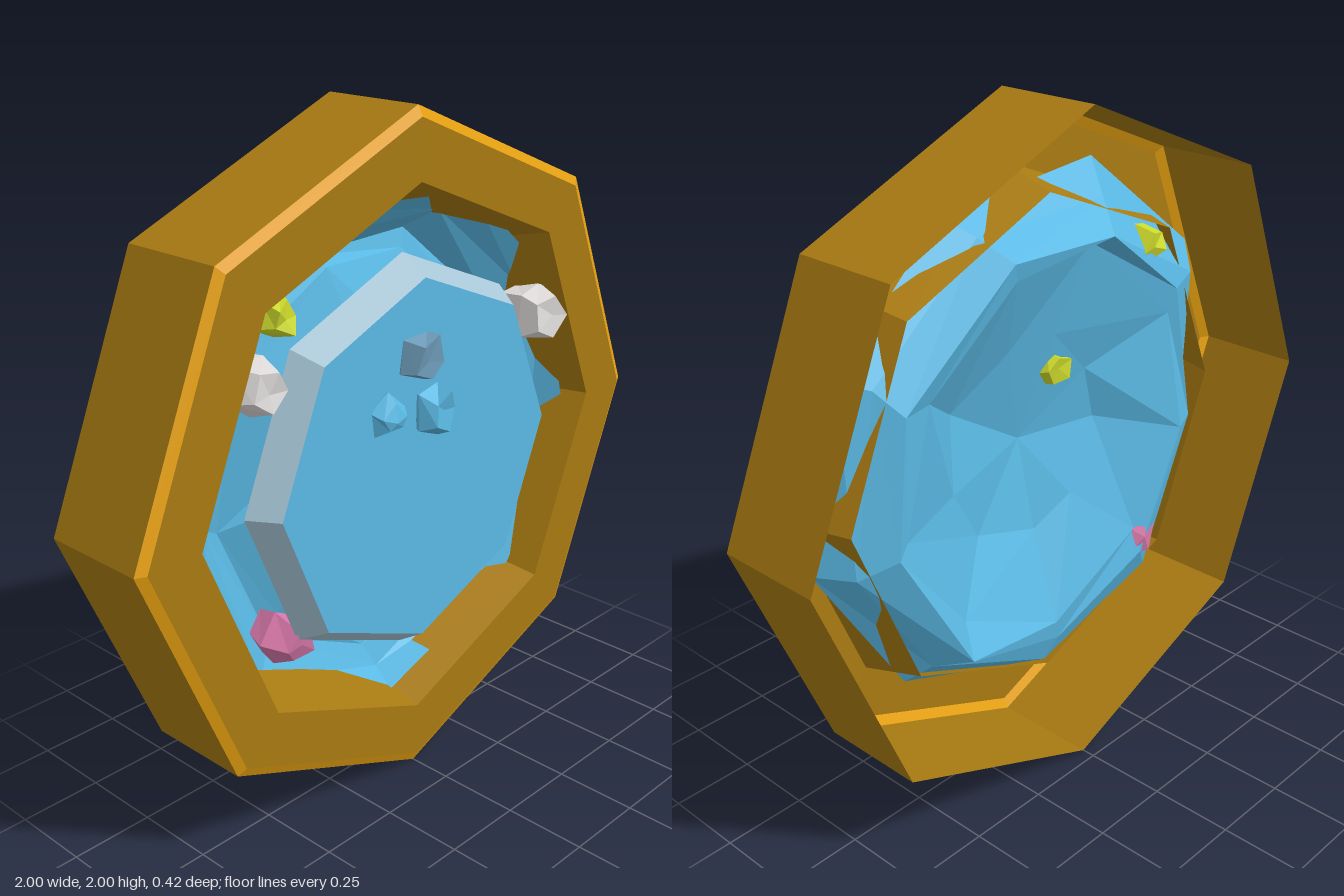
import * as THREE from 'three';

const mat = (name, color) => {
  const m = new THREE.MeshStandardMaterial({ color, side: THREE.DoubleSide });
  m.name = name;
  return m;
};

// Repeatable noise in -1..1 from a position, so coincident corners move together
const noise = (x, y, z, k) => {
  const s = Math.sin(Math.round(x * 1e3) * 12.99 + Math.round(y * 1e3) * 78.23 + Math.round(z * 1e3) * 37.72 + k * 19.19) * 43758.5453;
  return 2 * (s - Math.floor(s)) - 1;
};

function roughen(geo, amounts, seed) {
  const p = geo.attributes.position;
  for (let i = 0; i < p.count; i++) {
    const v = [p.getX(i), p.getY(i), p.getZ(i)];
    p.setXYZ(i, ...v.map((c, a) => c + amounts[a] * noise(...v, seed + a)));
  }
  return geo;
}

function facet(geo) {
  const g = geo.index ? geo.toNonIndexed() : geo;
  g.computeVertexNormals();
  return g;
}

// Profile of [radius, z] points turned about the z axis
const turn = (points, sides) =>
  new THREE.LatheGeometry(points.map(([r, z]) => new THREE.Vector2(r, z)), sides).rotateX(Math.PI / 2);

export function createModel() {
  const group = new THREE.Group();
  const gold = mat('dark gold', 0xa87a12);
  const trim = mat('bright gold', 0xe8a210);
  const blue = mat('blue', 0x5ab9e4);
  const steel = mat('pale steel', 0xa8c6d6);
  const slate = mat('slate blue', 0x6f9dba);
  const white = mat('white stone', 0xdedada);
  const yellow = mat('yellow stone', 0xcedb2c);
  const pink = mat('pink stone', 0xd678a8);

  const add = (name, geo, material) => {
    const m = new THREE.Mesh(facet(geo), material);
    m.name = name;
    m.position.y = 1;
    group.add(m);
    return m;
  };

  // Octagonal frame, open at the back
  add('frameWall', turn([[1, -0.21], [1, 0.115]], 8), gold);
  add('frameBevel', turn([[1, 0.115], [0.97, 0.13]], 8), trim);
  add('frameLip', turn([[0.97, 0.13], [0.8, 0.13], [0.745, -0.06]], 8), gold);

  // Jagged rock shell behind the plate: a back ridge with a hollow centre
  const rock = turn([[0.8, 0.04], [0.72, -0.03], [0.64, -0.1], [0.57, -0.09], [0.3, 0.03], [0, 0.06]], 9);
  add('rockShell', roughen(rock, [0.035, 0.035, 0.03], 3), blue);

  // Raised octagonal plate with a sloping edge
  add('plateEdge', turn([[0.6, 0.06], [0.545, 0.147]], 8), steel);
  add('plateFace', turn([[0.545, 0.147], [0, 0.147]], 8), blue);

  // Loose stones: name, material, centre, size, tilt
  const stones = [
    ['plateStoneTop', slate, [-0.03, 1.33, 0.15], [0.15, 0.16, 0.1], 0.15],
    ['plateStoneLeft', blue, [-0.16, 1.19, 0.15], [0.12, 0.12, 0.08], 0.6],
    ['plateStoneRight', blue, [0.03, 1.165, 0.155], [0.15, 0.16, 0.1], 0.3],
    ['yellowStone', yellow, [-0.42, 1.5, -0.02], [0.13, 0.13, 0.14], 0.2],
    ['hiddenYellowStone', yellow, [-0.11, 1.18, 0.04], [0.11, 0.11, 0.08], 0.4],
    ['whiteStoneLeft', white, [-0.53, 1.34, 0.03], [0.16, 0.18, 0.14], 0.05],
    ['whiteStoneRight', white, [0.6, 1.3, 0.05], [0.17, 0.19, 0.14], 0.3],
    ['pinkStone', pink, [-0.41, 0.55, -0.02], [0.17, 0.15, 0.15], -0.3],
  ];
  stones.forEach(([name, material, pos, size, tilt], i) => {
    // Chipped block: a cube whose middle section bulges
    const geo = new THREE.CylinderGeometry(0.36, 0.4, 1, 5, 2).rotateX(Math.PI / 2);
    const p = geo.attributes.position;
    for (let j = 0; j < p.count; j++) {
      const k = Math.abs(p.getZ(j)) < 0.1 ? 1.35 : 1;
      p.setXY(j, p.getX(j) * k, p.getY(j) * k);
    }
    roughen(geo, [0.08, 0.08, 0.1], i * 5).scale(...size);
    const m = add(name, geo, material);
    m.position.set(...pos);
    m.rotation.z = tilt;
  });

  return group;
}
